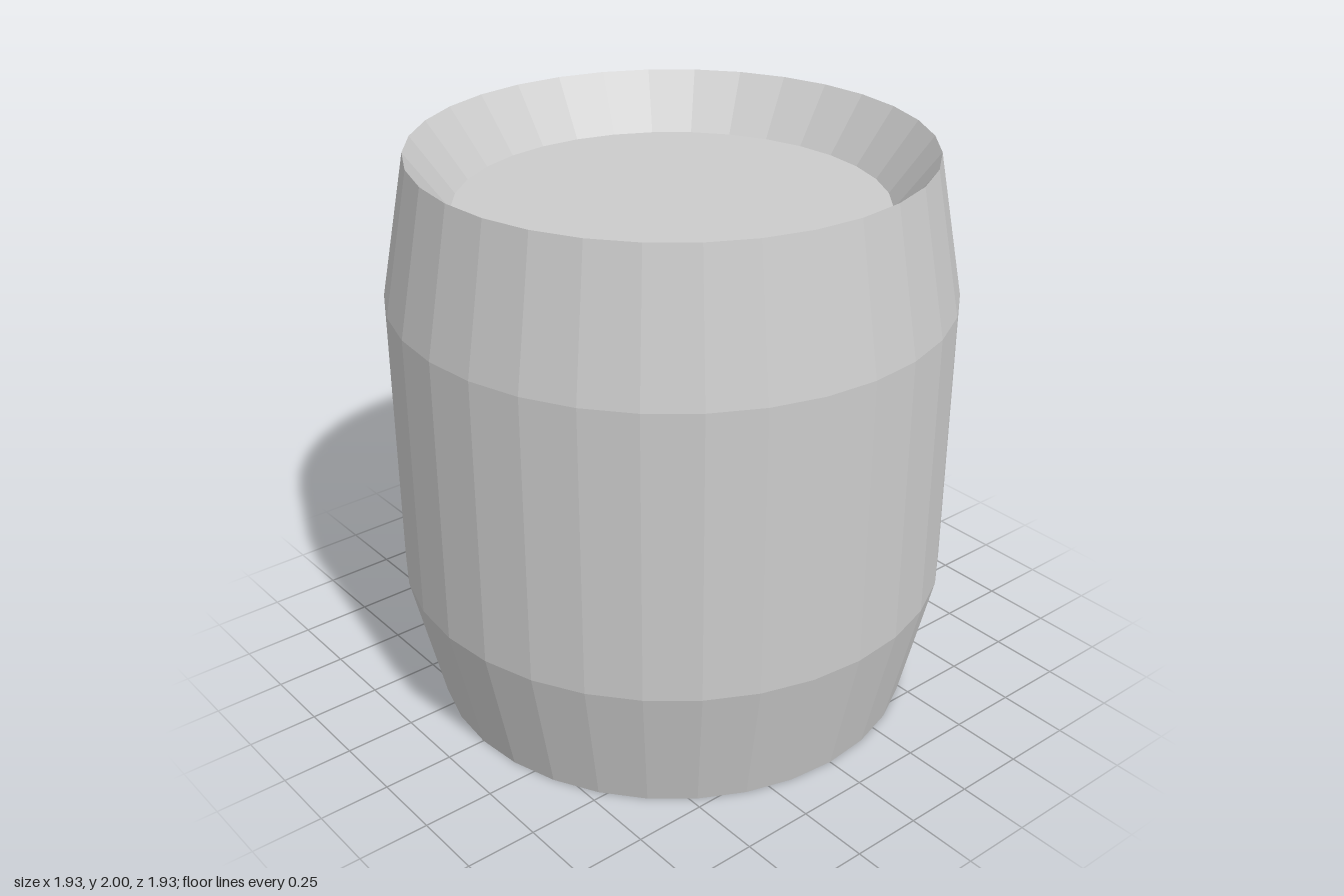
import * as THREE from 'three';

const SIDES = 32;
const TOP_HEAD = { radius: 0.73, y: 1.805 };
const BOTTOM_HEAD = { radius: 0.78, y: 0.238 };

export function createModel() {
  const model = new THREE.Group();
  model.name = 'barrel';
  const material = new THREE.MeshStandardMaterial({ color: 0xcccccc, flatShading: true });

  // Faceted wall with sloping inner rims, as one profile from bottom to top
  const profile = [
    [BOTTOM_HEAD.radius, BOTTOM_HEAD.y],
    [0.858, 0],
    [0.967, 0.485],
    [0.967, 1.507],
    [0.874, 2],
    [TOP_HEAD.radius, TOP_HEAD.y],
  ].map(([r, y]) => new THREE.Vector2(r, y));
  const wall = new THREE.Mesh(new THREE.LatheGeometry(profile, SIDES), material);
  wall.name = 'wall';
  model.add(wall);

  // Flat discs recessed into both ends
  const addHead = (name, { radius, y }, tilt) => {
    const head = new THREE.Mesh(new THREE.CircleGeometry(radius, SIDES), material);
    head.name = name;
    head.rotation.x = tilt;
    head.position.y = y;
    model.add(head);
  };
  addHead('topHead', TOP_HEAD, -Math.PI / 2);
  addHead('bottomHead', BOTTOM_HEAD, Math.PI / 2);

  return model;
}
